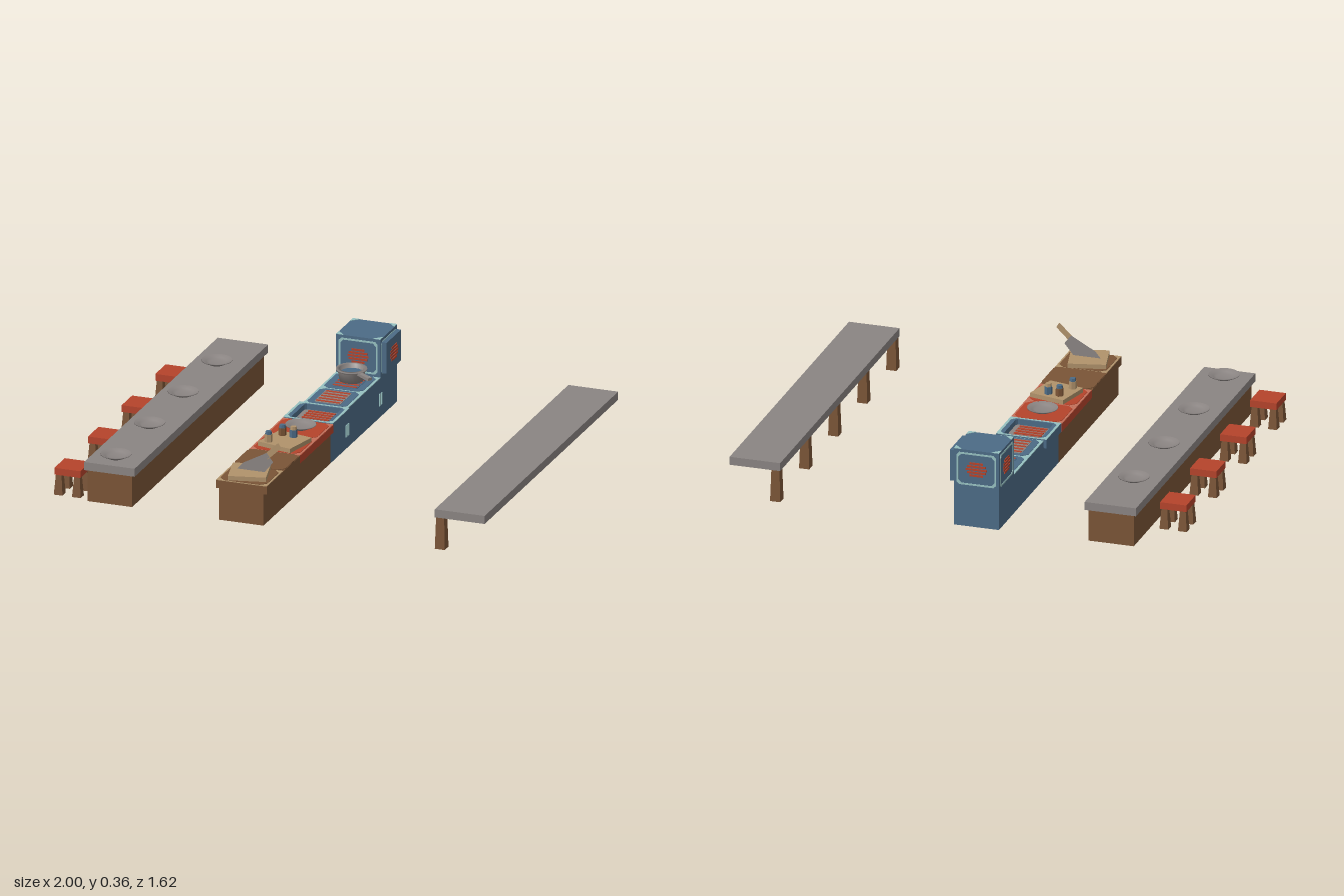
import * as THREE from 'three';

function paint(name, color, doubleSide = false) {
  const m = new THREE.MeshStandardMaterial({ color });
  m.name = name;
  if (doubleSide) m.side = THREE.DoubleSide;
  return m;
}

export function createModel() {
  const root = new THREE.Group();
  root.name = 'dinerKitchen';
  const wood = paint('wood', 0x7a5436, true);
  const stone = paint('stone', 0x8a8482, true);
  const tan = paint('paleWood', 0xb0926b, true);
  const red = paint('red', 0xb5432b);
  const salmon = paint('salmonTrim', 0xc4705a);
  const blue = paint('blue', 0x4c6b86, true);
  const teal = paint('paleTeal', 0x96c0c0);

  function add(name, geo, mat, x = 0, y = 0, z = 0, parent = root) {
    const m = new THREE.Mesh(geo, mat);
    m.name = name;
    m.position.set(x, y, z);
    parent.add(m);
    return m;
  }
  // box given by its extents
  function box(name, mat, x0, x1, y0, y1, z0, z1, parent = root) {
    return add(name, new THREE.BoxGeometry(x1 - x0, y1 - y0, z1 - z0), mat,
      (x0 + x1) / 2, (y0 + y1) / 2, (z0 + z1) / 2, parent);
  }
  // thin shell box with no floor
  function shell(name, mat, x0, x1, y0, y1, z0, z1) {
    const m = box(name, mat, x0, x1, y0, y1, z0, z1);
    const idx = Array.from(m.geometry.index.array);
    idx.splice(18, 6);
    m.geometry.setIndex(idx);
    m.geometry.clearGroups();
    return m;
  }
  // post that narrows towards the top
  function post(name, x, z, h, bottom, top, parent = root) {
    const g = new THREE.BoxGeometry(bottom, h, bottom);
    const p = g.attributes.position;
    for (let i = 0; i < p.count; i++) {
      if (p.getY(i) > 0) { p.setX(i, p.getX(i) * top / bottom); p.setZ(i, p.getZ(i) * top / bottom); }
    }
    g.computeVertexNormals();
    return add(name, g, wood, x, h / 2, z, parent);
  }
  // rectangle with cut corners, centred on the origin
  function cutRect(w, h, c, Type = THREE.Shape) {
    const a = w / 2, b = h / 2;
    return new Type([[-a + c, -b], [a - c, -b], [a, -b + c], [a, b - c],
      [a - c, b], [-a + c, b], [-a, b - c], [-a, -b + c]].map(([x, y]) => new THREE.Vector2(x, y)));
  }
  // thin plate lying flat on a worktop
  function topPanel(name, mat, x, y, z, w, d, cut) {
    const g = new THREE.ExtrudeGeometry(cutRect(w, d, cut), { depth: 0.003, bevelEnabled: false });
    g.rotateX(-Math.PI / 2);
    return add(name, g, mat, x, y, z);
  }
  // row of red slots
  function slots(x, y, z, w, d, n) {
    for (let i = 0; i < n; i++) {
      const zz = z + (i / (n - 1) - 0.5) * d;
      box('heatingBar', red, x - w / 2, x + w / 2, y, y + 0.004, zz - 0.006, zz + 0.006);
    }
  }
  function plate(x, y, z) {
    const pts = [[0, 0], [0.032, 0], [0.068, 0.018], [0.067, 0.021], [0.046, 0.013], [0.034, 0.006], [0, 0.006]];
    const g = new THREE.LatheGeometry(pts.map(p => new THREE.Vector2(...p)), 20);
    add('plate', g, stone, x, y, z);
  }

  // dining counter, plates and stools
  const base = shell('counterBase', wood, -0.835, -0.63, 0, 0.146, -0.8, 0.8);
  base.geometry.setIndex(Array.from(base.geometry.index.array).filter((v, i) => i < 12 || i >= 18));
  shell('counterTop', stone, -0.848, -0.615, 0.145, 0.182, -0.81, 0.81);
  for (const z of [-0.51, -0.103, 0.305, 0.713]) {
    plate(-0.738, 0.182, z);
    const stool = new THREE.Group();
    stool.name = 'stool';
    stool.position.set(-0.938, 0, z);
    root.add(stool);
    box('stoolSeat', red, -0.06, 0.06, 0.092, 0.123, -0.063, 0.063, stool);
    for (const sx of [-1, 1]) for (const sz of [-1, 1])
      post('stoolLeg', sx * 0.042, sz * 0.045, 0.094, 0.04, 0.026, stool);
  }

  // serving shelf on one row of legs
  shell('servingShelf', stone, 0.77, 1, 0.145, 0.182, -0.81, 0.81);
  for (let i = 0; i < 5; i++) post('shelfLeg', 0.793, -0.787 + i * 0.3935, 0.165, 0.046, 0.036);

  // kitchen row: eight cabinets, the back four blue, the front four wooden
  const step = 0.2025, cx = -0.1225;
  for (let i = 0; i < 8; i++) {
    const z0 = -0.81 + i * step, z1 = z0 + step, zc = (z0 + z1) / 2;
    const isBlue = i < 4, overhang = i > 2;
    shell('cabinet', isBlue ? blue : wood, -0.225, -0.02, 0, overhang ? 0.148 : 0.178, z0, z1);
    if (isBlue) {
      const hz = i % 2 ? z0 + 0.012 : z1 - 0.012;
      if (i !== 3) box('doorHandle', teal, -0.02, -0.016, 0.055, 0.11, hz - 0.005, hz + 0.005);
      else box('doorHandle', teal, -0.02, -0.016, 0.055, 0.11, z0 + 0.007, z0 + 0.017);
    }
    if (i > 3) {
      const slabMat = i === 6 ? wood : i === 7 ? tan : salmon;
      box('worktop', i > 5 ? wood : red, -0.24, -0.005, 0.145, 0.181, z0, z1);
      if (i !== 6) box('worktopTrim', slabMat, -0.239, -0.006, 0.18, 0.183, z0 + 0.001, z1 - 0.001);
      topPanel('worktopPanel', i > 5 ? wood : red, cx, 0.182, zc, i === 6 ? 0.234 : 0.215, i === 6 ? 0.2 : 0.19, 0.025);
    }
    if (i === 1 || i === 2) {
      box('stoveTrim', teal, -0.225, -0.02, 0.177, 0.181, z0, z1);
      topPanel('stovePanel', blue, cx, 0.18, zc, 0.182, 0.19, 0.022);
      topPanel('hotPlate', i === 1 ? blue : stone, cx, 0.182, zc, 0.12, 0.15, 0.008);
      slots(cx, 0.183, zc, 0.11, 0.12, 5);
    }
  }

  // sunken grill
  const rim = cutRect(0.23, 0.2, 0.001);
  rim.holes.push(cutRect(0.17, 0.17, 0.008, THREE.Path));
  const rimGeo = new THREE.ExtrudeGeometry(rim, { depth: 0.04, bevelEnabled: false });
  rimGeo.rotateX(-Math.PI / 2);
  add('grillFrame', rimGeo, blue, cx, 0.145, -0.101);
  const edge = cutRect(0.23, 0.2, 0.001);
  edge.holes.push(cutRect(0.207, 0.184, 0.02, THREE.Path));
  const edgeGeo = new THREE.ExtrudeGeometry(edge, { depth: 0.002, bevelEnabled: false });
  edgeGeo.rotateX(-Math.PI / 2);
  add('grillTrim', edgeGeo, teal, cx, 0.185, -0.101);
  box('grillTray', stone, -0.208, -0.037, 0.148, 0.16, -0.187, -0.015);
  slots(cx, 0.16, -0.101, 0.125, 0.13, 6);

  // oven tower with framed vents on every side
  const oven = new THREE.Group();
  oven.name = 'ovenTower';
  oven.position.set(cx, 0.267, -0.7085);
  root.add(oven);
  box('ovenBody', blue, -0.1025, 0.1025, -0.09, 0.088, -0.1015, 0.1015, oven);
  box('ovenDoor', blue, 0.1025, 0.126, -0.07, 0.072, -0.087, 0.087, oven);
  function frame(name, w, h, parent, z) {
    const s = cutRect(w, h, 0.012);
    s.holes.push(cutRect(w - 0.016, h - 0.016, 0.014, THREE.Path));
    add(name, new THREE.ExtrudeGeometry(s, { depth: 0.003, bevelEnabled: false }), teal, 0, 0, z, parent);
  }
  for (let k = 0; k < 4; k++) {
    const side = new THREE.Group();
    side.name = 'ovenSide';
    side.rotation.y = k * Math.PI / 2;
    oven.add(side);
    const d = k % 2 ? 0.1025 : 0.1015, face = k === 1 ? 0.126 : d;
    frame('ovenTrim', 0.18, 0.15, side, d - 0.001);
    [0.06, 0.085, 0.095, 0.085, 0.06].forEach((w, j) => {
      const y = (j - 2) * 0.014;
      box('ventSlot', red, -w / 2, w / 2, y - 0.0045, y + 0.0045, face, face + 0.003, side);
    });
  }
  // pale corners on the oven roof
  for (const sx of [-1, 1]) for (const sz of [-1, 1]) {
    const c = new THREE.Shape([new THREE.Vector2(0, 0), new THREE.Vector2(0.035, 0), new THREE.Vector2(0, 0.035)]);
    const g = new THREE.ExtrudeGeometry(c, { depth: 0.002, bevelEnabled: false });
    g.rotateX(-Math.PI / 2);
    const m = add('roofCorner', g, teal, sx * 0.1025, 0.088, sz * 0.1015, oven);
    m.rotation.y = sx < 0 ? (sz > 0 ? 0 : -Math.PI / 2) : (sz > 0 ? Math.PI / 2 : Math.PI);
  }

  // pan with contents and handle
  const pan = [[0, 0], [0.052, 0], [0.06, 0.045], [0.068, 0.05], [0.068, 0.056], [0.052, 0.056], [0.047, 0.02], [0, 0.02]];
  add('pan', new THREE.LatheGeometry(pan.map(p => new THREE.Vector2(...p)), 20), stone, -0.122, 0.185, -0.525);
  add('panContents', new THREE.CylinderGeometry(0.05, 0.048, 0.006, 20), blue, -0.122, 0.22, -0.525);
  const handle = add('panHandle', new THREE.BoxGeometry(0.085, 0.012, 0.022), stone, -0.042, 0.232, -0.47);
  handle.rotation.y = -0.6;

  // plate, cutting boards and spice bottles
  plate(-0.118, 0.185, 0.101);
  for (const [x, z, turn] of [[-0.115, 0.302, -0.23], [-0.125, 0.705, 0.23]]) {
    const b = add('cuttingBoard', new THREE.BoxGeometry(0.166, 0.02, 0.166), tan, x, 0.195, z);
    b.rotation.y = turn;
  }
  for (const [x, z, mat] of [[-0.145, 0.252, wood], [-0.092, 0.257, blue], [-0.173, 0.347, tan]]) {
    add('bottle', new THREE.CylinderGeometry(0.017, 0.018, 0.034, 6).toNonIndexed(), mat, x, 0.222, z)
      .geometry.computeVertexNormals();
    add('bottleCap', new THREE.CylinderGeometry(0.013, 0.015, 0.014, 6).toNonIndexed(), mat === blue ? tan : blue, x, 0.246, z)
      .geometry.computeVertexNormals();
  }

  // cleaver stuck in the front board
  const flat = pts => new THREE.ShapeGeometry(new THREE.Shape(pts.map(p => new THREE.Vector2(...p))));
  add('cleaverBlade', flat([[-0.18, 0.205], [-0.055, 0.205], [-0.015, 0.255], [-0.045, 0.295], [-0.155, 0.235]]), stone, 0, 0, 0.705);
  add('cleaverHandle', flat([[-0.055, 0.288], [-0.04, 0.265], [0.022, 0.325], [0.008, 0.348]]), tan, 0, 0, 0.705);

  return root;
}
